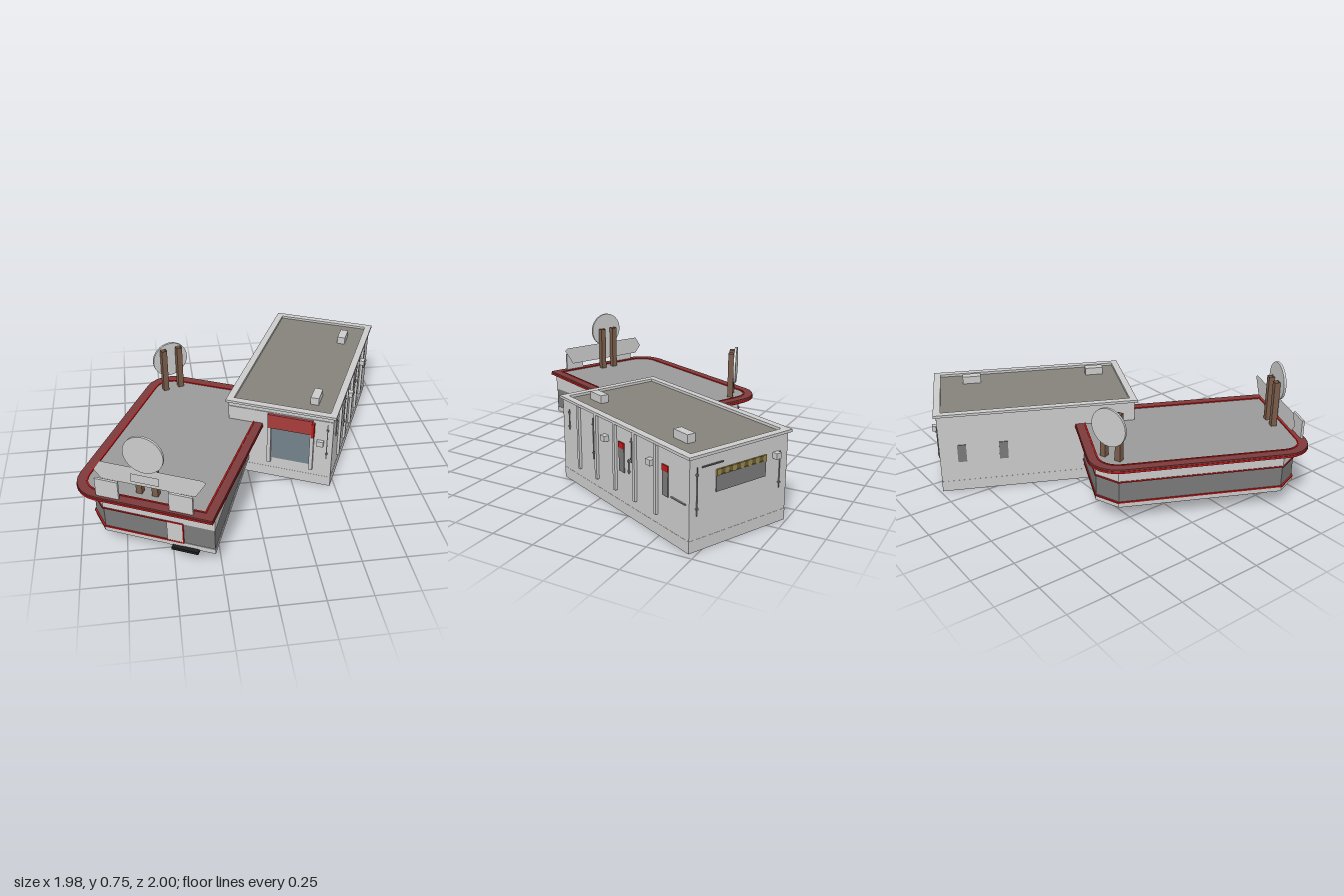
import * as THREE from 'three';

const GREY = 0xcccccc, RED = 0xc01a1a, DARK_RED = 0x7c3a3a, GLASS = 0x7a7a7a, BLACK = 0x1c1c1c, BROWN = 0x7a5c4a;

const mats = {};
const mat = (color) => (mats[color] ??= new THREE.MeshStandardMaterial({ color, flatShading: true, side: THREE.DoubleSide }));

// Rectangular plan whose two left corners are rounded (or chamfered when segs is 1)
function plan(x0, x1, z0, z1, r = 0, segs = 1) {
  const pts = [[x1, -z1], [x1, -z0]];
  if (!r) pts.push([x0, -z0], [x0, -z1]);
  else {
    for (const [cy, start] of [[-z0 - r, 0.5], [-z1 + r, 1]]) {
      for (let i = 0; i <= segs; i++) {
        const a = Math.PI * (start + (0.5 * i) / segs);
        pts.push([x0 + r + r * Math.cos(a), cy + r * Math.sin(a)]);
      }
    }
  }
  return pts.map(([x, y]) => new THREE.Vector2(x, y));
}

function add(parent, name, geometry, color, x = 0, y = 0, z = 0) {
  const mesh = new THREE.Mesh(geometry, mat(color));
  mesh.name = name;
  mesh.position.set(x, y, z);
  parent.add(mesh);
  return mesh;
}

// Horizontal slab from a plan, with an optional opening
function slab(parent, name, outline, y0, y1, color, opening) {
  const shape = new THREE.Shape(outline);
  if (opening) shape.holes.push(new THREE.Path(opening));
  const g = new THREE.ExtrudeGeometry(shape, { depth: y1 - y0, bevelEnabled: false }).rotateX(-Math.PI / 2);
  return add(parent, name, g, color, 0, y0, 0);
}

// Box given by its extents
function box(parent, name, [x0, x1], [y0, y1], [z0, z1], color = GREY) {
  return add(parent, name, new THREE.BoxGeometry(x1 - x0, y1 - y0, z1 - z0), color,
    (x0 + x1) / 2, (y0 + y1) / 2, (z0 + z1) / 2);
}
const around = (c, w) => [c - w / 2, c + w / 2];

function makeGroup(parent, name) {
  const g = new THREE.Group();
  g.name = name;
  parent.add(g);
  return g;
}

function buildShowroom(site) {
  const s = makeGroup(site, 'showroom');
  // The right wall runs at a slight angle, wider at the front
  const wall = (o = 0, frontX = 0.14, backX = 0.034) => {
    const pts = plan(-0.605 - o, frontX + o, -0.2 - o, 0.974 + o, 0.11, 1);
    pts[1].x = backX + o;
    return pts;
  };
  const roof = (i) => plan(-0.675 + i, 0.149 - i, -0.248 + i, 1.032 - i, 0.17 - i, 6);

  // Walls, window band and floor
  slab(s, 'floor', wall(-0.002), 0.098, 0.104, BLACK);
  slab(s, 'lowerWall', wall(), 0.1, 0.13, GREY);
  slab(s, 'windowBand', wall(-0.003), 0.13, 0.26, GLASS);
  slab(s, 'upperWall', wall(), 0.26, 0.35, GREY);
  for (const y of [0.13, 0.26]) slab(s, 'redStripe', wall(0.004, -0.04, -0.04), y - 0.004, y + 0.004, RED);
  box(s, 'entrancePanel', [-0.13, -0.04], [0.1, 0.258], [0.96, 0.976]);
  box(s, 'entranceTrim', [-0.042, -0.036], [0.13, 0.26], [0.965, 0.978], RED);
  box(s, 'entranceStep', [-0.1, 0.05], [0.09, 0.106], [0.87, 1.0], BLACK);

  // Flat roof with layered fascia
  slab(s, 'fasciaBase', roof(0.012), 0.345, 0.352, DARK_RED);
  slab(s, 'fascia', roof(0), 0.352, 0.364, RED);
  slab(s, 'roofEdge', roof(0.003), 0.364, 0.374, DARK_RED, roof(0.055));
  slab(s, 'roofTrim', roof(0.053), 0.364, 0.377, RED, roof(0.062));
  slab(s, 'roofDeck', roof(0.06), 0.362, 0.37, 0x9a9a9a);
}

// Round sign on two open-topped square posts; the disc faces local +z
function buildRoundSign(site, name, x, z, yaw, discY, spacing) {
  const s = makeGroup(site, name);
  s.position.set(x, 0, z);
  s.rotation.y = yaw;
  add(s, 'disc', new THREE.CylinderGeometry(0.112, 0.112, 0.014, 32).rotateX(Math.PI / 2), GREY, 0, discY, 0);
  for (const side of [-1, 1]) {
    const post = new THREE.CylinderGeometry(0.024, 0.024, 0.285, 4, 1, true).rotateY(Math.PI / 4);
    add(s, 'post', post, BROWN, side * spacing / 2, 0.5075, -0.025);
  }
  return s;
}

function buildRoofSigns(site) {
  const front = buildRoundSign(site, 'frontSign', -0.25, 0.937, 0, 0.637, 0.09);
  // Wide thin board under the front disc
  const board = new THREE.Shape([[-0.27, 0.43], [0.26, 0.43], [0.32, 0.53], [0.3, 0.543], [-0.27, 0.543], [-0.31, 0.48]]
    .map(([x, y]) => new THREE.Vector2(x, y)));
  add(front, 'wideBoard', new THREE.ShapeGeometry(board), GREY, 0.015, 0, 0);
  add(front, 'boardPanel', new THREE.PlaneGeometry(0.16, 0.053), 0xdddddd, 0, 0.481, 0.008);

  buildRoundSign(site, 'backSign', -0.532, -0.13, Math.PI + THREE.MathUtils.degToRad(44), 0.565, 0.1);
  for (const x of [-0.439, -0.028]) {
    box(site, 'smallRoofBoard', around(x, 0.13), [0.37, 0.485], around(1.006, 0.014));
  }
}

function buildGarage(site) {
  const g = makeGroup(site, 'garage');
  const [L, R, B, F] = [-0.066, 0.572, -1.056, 0.116];
  const rect = (i) => plan(L + i, R - i, B + i, F - i);

  // Open-bottomed shell, plinth and parapet roof
  slab(g, 'walls', rect(0), 0, 0.492, GREY, rect(0.01));
  slab(g, 'plinth', rect(-0.001), 0, 0.065, 0xc4c4c4, rect(0.005));
  slab(g, 'roofRim', rect(-0.015), 0.49, 0.505, GREY, rect(0.026));
  slab(g, 'roofDeck', rect(0.005), 0.478, 0.49, 0x84827a);
  for (const z of [-0.834, -0.051]) box(g, 'roofUnit', around(0.43, 0.05), [0.485, 0.536], around(z, 0.112));

  // Front doorway with a red header and a red end post
  box(g, 'door', [0.2, 0.44], [0.14, 0.37], [F, F + 0.006], 0x74828a);
  box(g, 'doorBack', [0.2, 0.44], [0.08, 0.37], [F - 0.016, F - 0.008], BLACK);
  box(g, 'doorHeader', [0.18, 0.45], [0.362, 0.456], [F, F + 0.02], 0xa83c3c);
  box(g, 'doorEndPost', [0.447, 0.463], [0.345, 0.44], [F, F + 0.026], RED);
  for (const x of [0.19, 0.45]) box(g, 'doorJamb', around(x, 0.022), [0.11, 0.365], [F, F + 0.02]);
  box(g, 'frontTrim', [L, R], [0.456, 0.462], [F, F + 0.004]);
  box(g, 'frontMeter', around(0.5, 0.04), [0.29, 0.325], [F, F + 0.022]);

  // Right side: pilasters, windows with red shades, lamp boxes
  for (let i = 0; i < 5; i++) box(g, 'pilaster', [R, R + 0.016], [0.115, 0.492], around(-0.066 - i * 0.183, 0.02));
  for (const z of [-0.49, -0.87]) {
    box(g, 'sideWindow', [R, R + 0.005], [0.238, 0.37], around(z, 0.048), GLASS);
    box(g, 'redShade', [R, R + 0.008], [0.37, 0.402], around(z, 0.048), RED);
  }
  for (const z of [-0.345, -0.76]) box(g, 'lampBox', [R, R + 0.03], [0.37, 0.402], around(z, 0.038));

  // Thin pipes with brackets
  const pipe = (x, z, y0, y1) => {
    add(g, 'pipe', new THREE.CylinderGeometry(0.003, 0.003, y1 - y0, 6), 0x8c8c8c, x, (y0 + y1) / 2, z);
    for (const t of [0.15, 0.85]) box(g, 'pipeBracket', around(x, 0.012), around(y0 + (y1 - y0) * t, 0.008), around(z, 0.012), 0x8c8c8c);
  };
  for (const [z, y0, y1] of [[0.04, 0.32, 0.44], [-0.215, 0.22, 0.46], [-0.585, 0.32, 0.455], [-0.56, 0.25, 0.33]]) pipe(R + 0.005, z, y0, y1);
  box(g, 'sideRail', [R, R + 0.008], [0.248, 0.254], [-1.03, -0.92], 0x8c8c8c);
  pipe(0.54, F + 0.005, 0.2, 0.44);
  pipe(0.53, B - 0.005, 0.19, 0.44);
  pipe(-0.01, B - 0.005, 0.2, 0.4);

  // Back window with a striped awning, sign bar and lamp box
  box(g, 'backWindow', [0.085, 0.41], [0.285, 0.37], [B - 0.005, B], GLASS);
  for (let i = 0; i < 13; i++) {
    box(g, 'awningStripe', [0.085 + i * 0.025, 0.11 + i * 0.025], [i % 2 ? 0.375 : 0.37, 0.402], [B - 0.009, B], i % 2 ? 0x6a5c32 : 0x9a8848);
  }
  box(g, 'backBar', [0.37, 0.5], [0.432, 0.438], [B - 0.008, B], 0x666666);
  box(g, 'backLampBox', around(0.02, 0.035), [0.37, 0.402], [B - 0.03, B]);

  // Left side windows
  for (const z of [-0.925, -0.68]) box(g, 'leftWindow', [L - 0.005, L], [0.19, 0.3], around(z, 0.052), GLASS);
}

export function createModel() {
  const model = new THREE.Group();
  model.name = 'dealershipBuilding';
  const site = makeGroup(model, 'site');
  site.rotation.y = THREE.MathUtils.degToRad(-25);
  buildShowroom(site);
  buildRoofSigns(site);
  buildGarage(site);
  return model;
}
